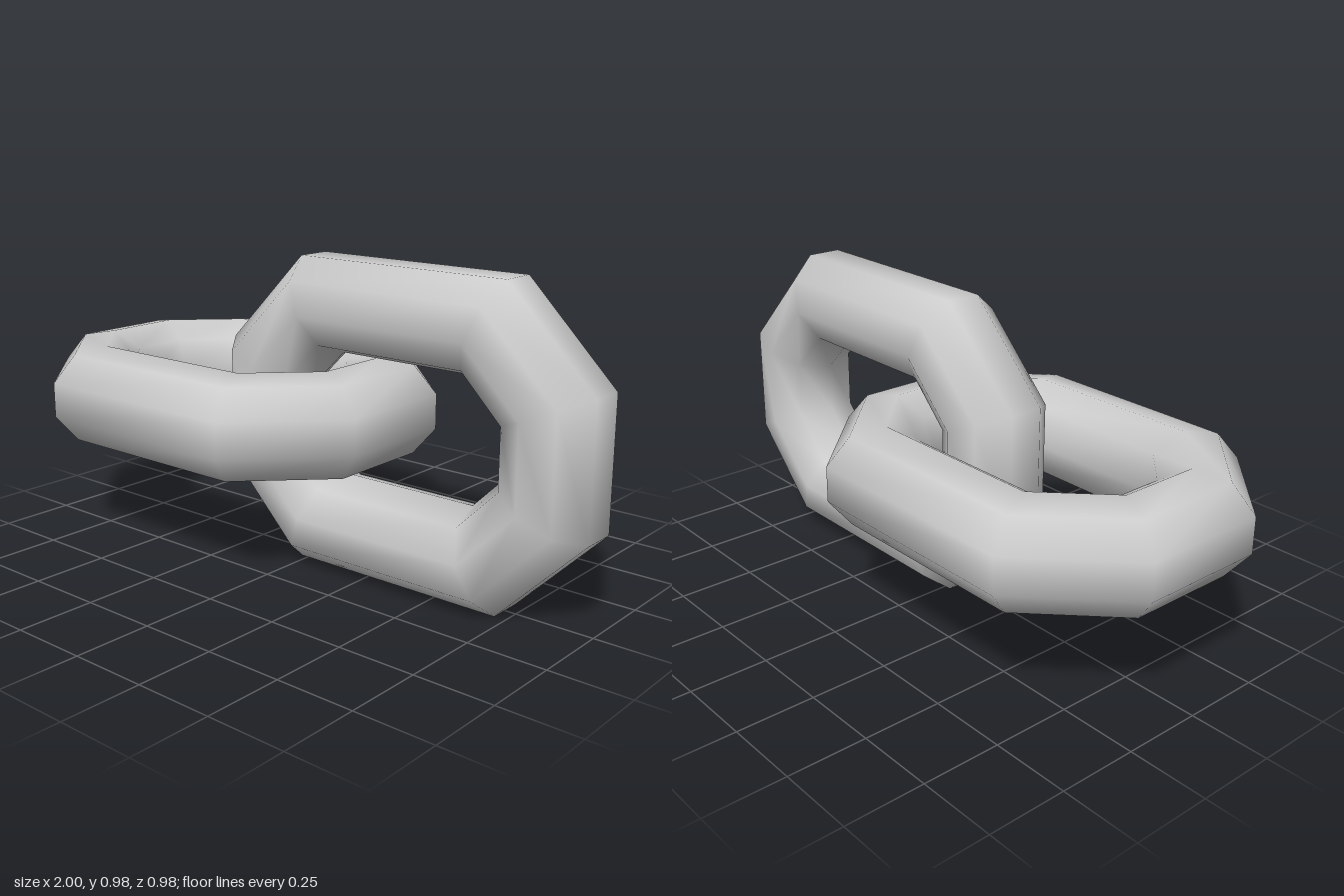
import * as THREE from 'three';

const RING = 0.375, TUBE = 0.165, STRETCH = 0.165, CENTER_X = 0.345, CENTER_Y = 0.49;

// Eight-segment ring with a nine-sided section, its halves pulled apart into a link
function linkGeometry() {
  // A negative tube radius turns the section so its flat side faces outward
  const geo = new THREE.TorusGeometry(RING, -TUBE, 9, 8);
  geo.rotateZ(Math.PI / 8);
  const pos = geo.attributes.position;
  for (let i = 0; i < pos.count; i++) {
    pos.setX(i, pos.getX(i) + Math.sign(pos.getX(i)) * STRETCH);
  }
  return geo;
}

export function createModel() {
  const group = new THREE.Group();
  group.name = 'chainLinks';
  const material = new THREE.MeshStandardMaterial({ color: 0xcccccc });
  const geometry = linkGeometry();

  // Upright link on the left, flat link on the right, threaded through each other
  for (const [name, x, tilt] of [['uprightLink', CENTER_X, 0], ['flatLink', -CENTER_X, Math.PI / 2]]) {
    const link = new THREE.Mesh(geometry, material);
    link.name = name;
    link.position.set(x, CENTER_Y, 0);
    link.rotation.x = tilt;
    group.add(link);
  }
  return group;
}
